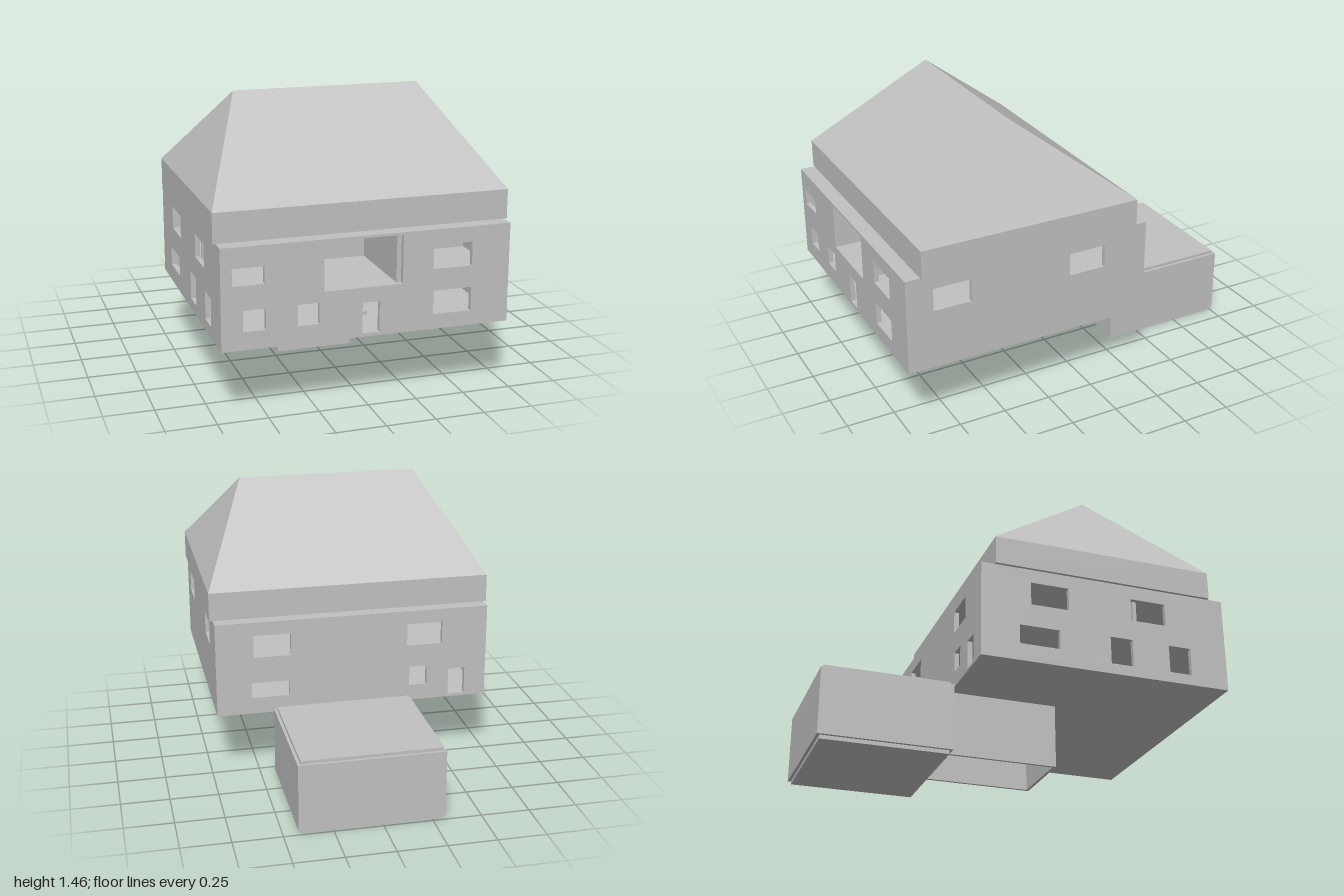
import * as THREE from 'three';

const plaster = new THREE.MeshStandardMaterial({ color: 0xc0c0c0 });
plaster.name = 'light grey plaster';

const T = 0.025; // wall thickness
const X0 = -0.725, X1 = 0.722, Z0 = -0.32, Z1 = 1.0, Y0 = 0.355, Y1 = 0.857;

function add(group, name, geometry) {
  const mesh = new THREE.Mesh(geometry, plaster);
  mesh.name = name;
  group.add(mesh);
  return mesh;
}

// Box given by its minimum and maximum along each axis
function block(group, name, x0, x1, y0, y1, z0, z1) {
  const g = new THREE.BoxGeometry(x1 - x0, y1 - y0, z1 - z0);
  g.translate((x0 + x1) / 2, (y0 + y1) / 2, (z0 + z1) / 2);
  return add(group, name, g);
}

function rect(path, a0, a1, b0, b1) {
  path.moveTo(a0, b0);
  path.lineTo(a1, b0);
  path.lineTo(a1, b1);
  path.lineTo(a0, b1);
  path.closePath();
  return path;
}

// Wall panel with rectangular openings [from, to, bottom, top]
function wall(a0, a1, openings) {
  const shape = rect(new THREE.Shape(), a0, a1, Y0, Y1);
  for (const o of openings) shape.holes.push(rect(new THREE.Path(), ...o));
  return new THREE.ExtrudeGeometry(shape, { depth: T, bevelEnabled: false });
}

export function createModel() {
  const house = new THREE.Group();
  house.name = 'house';

  // Outer walls with windows, doors and the balcony opening
  const front = wall(X0, X1, [
    [-0.67, -0.515, 0.67, 0.755], [-0.62, -0.51, 0.445, 0.55],
    [-0.355, -0.25, 0.445, 0.55], [-0.225, 0.168, 0.602, 0.845],
    [-0.035, 0.052, 0.372, 0.527], [0.325, 0.525, 0.66, 0.78],
    [0.328, 0.525, 0.43, 0.55],
  ]);
  add(house, 'frontWall', front.translate(0, 0, Z1 - T));

  const back = wall(X0, X1, [
    [0.33, 0.525, 0.665, 0.785], [0.34, 0.54, 0.442, 0.525],
    [-0.48, -0.29, 0.665, 0.785], [-0.40, -0.305, 0.44, 0.545],
    [-0.61, -0.52, 0.37, 0.515],
  ]);
  add(house, 'backWall', back.translate(0, 0, Z0));

  const left = wall(Z0 + T, Z1 - T, [
    [0.66, 0.86, 0.665, 0.785], [-0.08, 0.12, 0.665, 0.785],
  ]);
  add(house, 'leftWall', left.rotateY(-Math.PI / 2).translate(X1, 0, 0));

  const right = wall(Z0 + T, Z1 - T, [
    [0.48, 0.67, 0.665, 0.785], [-0.06, 0.14, 0.665, 0.785],
    [-0.12, 0.09, 0.445, 0.545], [0.36, 0.48, 0.41, 0.555],
    [0.68, 0.80, 0.41, 0.555],
  ]);
  add(house, 'rightWall', right.rotateY(-Math.PI / 2).translate(X0 + T, 0, 0));

  // Floors and ceiling, fitted inside the walls
  const ix0 = X0 + T, ix1 = X1 - T, iz0 = Z0 + T, iz1 = Z1 - T;
  block(house, 'groundFloor', ix0, ix1, Y0, Y0 + 0.015, iz0, iz1);
  block(house, 'upperFloor', ix0, ix1, 0.58, 0.602, iz0, iz1);
  block(house, 'ceiling', ix0, ix1, 0.845, Y1, iz0, iz1);

  // Partitions
  block(house, 'upperSpineWall', ix0, ix1, 0.602, 0.845, 0.5, 0.52);
  block(house, 'upperCrossWall', 0, 0.02, 0.602, 0.845, iz0, 0.5);
  block(house, 'balconyRightWall', -0.245, -0.225, 0.602, 0.845, 0.52, iz1);
  block(house, 'balconyLeftWall', 0.145, 0.168, 0.602, 0.845, 0.52, iz1);
  block(house, 'lowerPartition', ix0, -0.45, 0.37, 0.58, 0.24, 0.26);

  // Stairs behind the front door
  const steps = 9;
  for (let i = 0; i < steps; i++) {
    const z = 0.75 - i * 0.05;
    block(house, 'stairStep', -0.06, 0.08, 0.37, 0.37 + (i + 1) * 0.0175, z - 0.05, z);
  }

  // Basement passage, open underneath
  const bt = 0.015;
  block(house, 'basementFrontWall', -0.24, 0.165, 0.022, Y0, 0.25 - bt, 0.25);
  block(house, 'basementRightWall', -0.24, -0.24 + bt, 0.022, Y0, Z0, 0.25 - bt);
  block(house, 'basementLeftWall', 0.165 - bt, 0.165, 0.022, Y0, Z0, 0.25 - bt);

  // Garage with inset roof and base slabs
  block(house, 'garage', -0.312, 0.425, 0.02, 0.37, -1, Z0);
  block(house, 'garageRoofSlab', -0.296, 0.41, 0.37, 0.386, -0.985, -0.335);
  block(house, 'garageBaseSlab', -0.296, 0.41, 0, 0.02, -0.985, -0.335);

  // Roof band and hipped roof: a box whose top is drawn in to a ridge
  block(house, 'roofBand', -0.74, 0.74, Y1, 1.005, -0.25, 0.922);
  const roof = new THREE.BoxGeometry(1.48, 0.452, 1.172);
  const p = roof.attributes.position;
  for (let i = 0; i < p.count; i++) {
    if (p.getY(i) > 0) {
      p.setX(i, Math.sign(p.getX(i)) * 0.484);
      p.setZ(i, 0);
    }
  }
  roof.computeVertexNormals();
  add(house, 'hippedRoof', roof.translate(0, 1.005 + 0.226, 0.336));

  return house;
}
